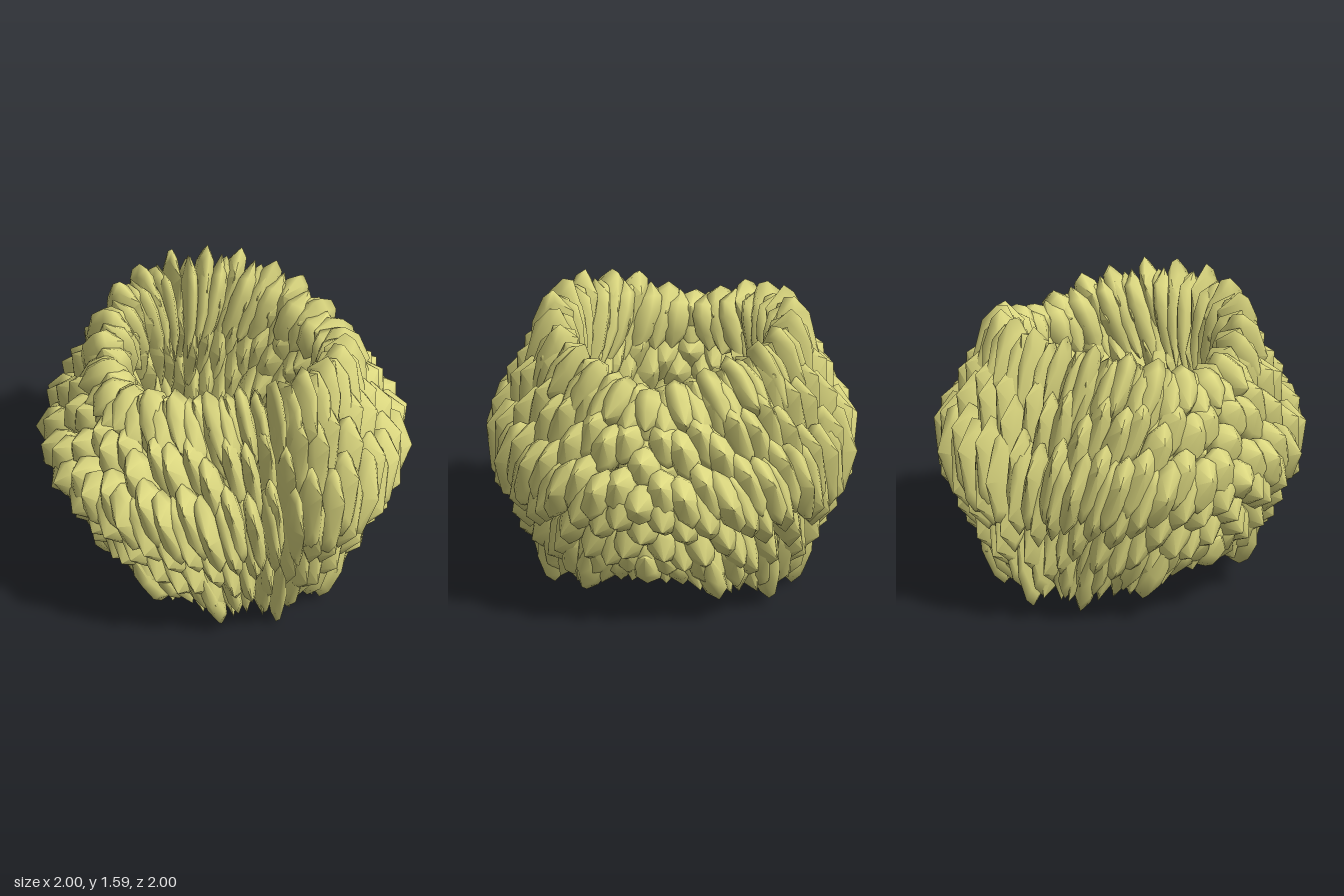
import * as THREE from 'three';
import { mergeGeometries } from 'three/addons/utils/BufferGeometryUtils.js';

const COLUMNS = 48, ROWS = 10, DEPTH = 0.14;

export function createModel() {
  const group = new THREE.Group();
  group.name = 'scaledRing';
  const material = new THREE.MeshStandardMaterial({ color: 0xdcd880 });

  // one pointed scale along +y, its origin just under the tip
  const scale = new THREE.LatheGeometry(
    [[0, -1.64], [0.8, -1.14], [1, -0.55], [0.9, -0.14], [0, 0.36]].map(([x, y]) => new THREE.Vector2(x, y)), 8);

  // cross-section of the ring on which the scale tips lie: x = radius, y = height
  const upper = [[0.9, 0.22], [0.78, 0.4], [0.64, 0.54], [0.54, 0.53], [0.49, 0.3]];
  const lower = upper.map(([r, y]) => [r, -y]).reverse();
  const section = new THREE.CatmullRomCurve3(
    [[1, 0], ...upper, [0.48, 0], ...lower].map(([r, y]) => new THREE.Vector3(r, y, 0)), true);

  // columns around the ring, each shifted against its neighbours
  const phases = [0, 0.5, 0.25, 0.5];
  for (let i = 0; i < COLUMNS; i++) {
    const a = (i / COLUMNS) * Math.PI * 2;
    const c = Math.cos(a), s = Math.sin(a);
    const along = new THREE.Vector3(-s, 0, c);
    // scales are broad at the sides, tall and narrow at front and back
    const width = 0.035 + 0.057 * Math.abs(c);
    const stretch = 1 + 1.36 * Math.abs(s);
    const rise = 1 + 0.25 * Math.abs(s);
    // between those they lean towards the nearer side
    const lean = -0.65 * Math.sin(2 * a);
    const shape = new THREE.Matrix4().set(
      1, lean * along.x, 0, 0,
      0, stretch, 0, 0,
      0, lean * along.z, 1, 0,
      0, 0, 0, 1);
    const parts = [];
    for (let k = 0; k < ROWS; k++) {
      const u = ((k + phases[i % 4]) / ROWS) % 1;
      const p = section.getPointAt(u), t = section.getTangentAt(u);
      const normal = new THREE.Vector3(c * t.y, -t.x, s * t.y).normalize();
      const across = new THREE.Vector3().crossVectors(along, normal);
      const pivot = new THREE.Vector3(c * p.x, p.y * rise, s * p.x).addScaledVector(normal, -0.36 * DEPTH);
      const m = new THREE.Matrix4().makeTranslation(pivot.x, pivot.y, pivot.z)
        .multiply(shape)
        .multiply(new THREE.Matrix4().makeBasis(along, normal, across))
        .multiply(new THREE.Matrix4().makeScale(width, DEPTH, 0.112));
      parts.push(scale.clone().applyMatrix4(m));
    }
    const mesh = new THREE.Mesh(mergeGeometries(parts), material);
    mesh.name = 'scaleColumn' + (i + 1);
    group.add(mesh);
  }

  // stand on the ground
  const low = new THREE.Box3().setFromObject(group).min.y;
  group.children.forEach((mesh) => mesh.geometry.translate(0, -low, 0));
  return group;
}
